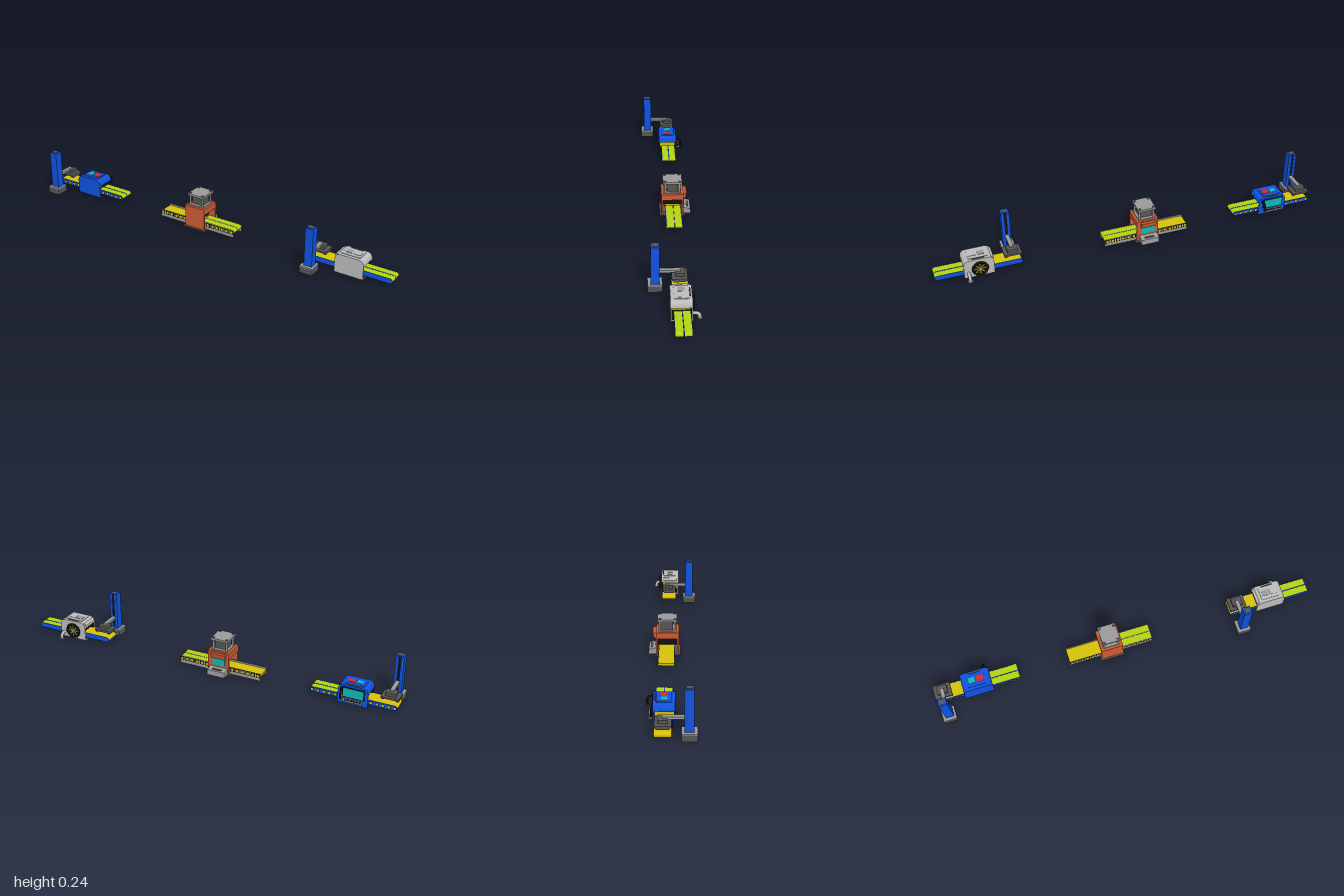
import * as THREE from 'three';

const BLUE = 0x0f52e0, YELLOW = 0xd6bf0a, LIME = 0xb4d20f, ORANGE = 0xcc5a33, DARK = 0x555555,
  GREY = 0x999999, LIGHT = 0xbbbbbb, BLACK = 0x111111, TEAL = 0x12b5b5, RED = 0xe02525;

function add(parent, name, geo, color, x = 0, y = 0, z = 0) {
  const mesh = new THREE.Mesh(geo, new THREE.MeshStandardMaterial({ color }));
  mesh.name = name;
  mesh.position.set(x, y, z);
  parent.add(mesh);
  return mesh;
}

// Box given by its limits on each axis
function box(parent, name, color, x0, x1, y0, y1, z0, z1) {
  return add(parent, name, new THREE.BoxGeometry(x1 - x0, y1 - y0, z1 - z0), color,
    (x0 + x1) / 2, (y0 + y1) / 2, (z0 + z1) / 2);
}

function extrudeZ(parent, name, color, shape, z0, z1) {
  const geo = new THREE.ExtrudeGeometry(shape, { depth: z1 - z0, bevelEnabled: false, curveSegments: 10 });
  return add(parent, name, geo, color, 0, 0, z0);
}

// Bar with half-round ends, seen from the front
function stadium(x0, x1, y0, y1) {
  const r = (y1 - y0) / 2, yc = (y0 + y1) / 2, s = new THREE.Shape();
  s.moveTo(x0 + r, y0);
  s.lineTo(x1 - r, y0);
  s.absarc(x1 - r, yc, r, -Math.PI / 2, Math.PI / 2, false);
  s.lineTo(x0 + r, y1);
  s.absarc(x0 + r, yc, r, Math.PI / 2, Math.PI * 1.5, false);
  return s;
}

// Body outline with rounded shoulders, cut off at a chosen lower height
function hoodShape(w, y0, h, r = 0.028) {
  const s = new THREE.Shape();
  s.moveTo(-w, y0);
  s.lineTo(w, y0);
  s.lineTo(w, h - r);
  s.quadraticCurveTo(w - 0.003, h, w - r, h);
  s.lineTo(-w + r, h);
  s.quadraticCurveTo(-w + 0.003, h, -w, h - r);
  return s;
}

function disc(parent, name, color, r, depth, x, y, z, seg = 16) {
  const m = add(parent, name, new THREE.CylinderGeometry(r, r, depth, seg), color, x, y, z);
  m.rotation.x = Math.PI / 2;
  return m;
}

function pipe(parent, name, color, pts, r) {
  const curve = new THREE.CatmullRomCurve3(pts.map(p => new THREE.Vector3(...p)));
  const mesh = add(parent, name, new THREE.TubeGeometry(curve, 16, r, 10), color);
  mesh.material.side = THREE.DoubleSide;
}

// Two narrow belts on the outfeed side, running between thin plates
function twinBelts(g, x0, x1, plate) {
  for (const [z0, z1] of [[-0.063, -0.03], [-0.025, 0.009]]) {
    extrudeZ(g, 'outfeedBelt', LIME, stadium(x0, x1, 0.021, 0.043), z0, z1);
    for (const z of [z0 - 0.002, z1])
      extrudeZ(g, 'beltSidePlate', plate, stadium(x0, x1, 0.018, 0.044), z, z + 0.002);
  }
}

// Loading tower with a sliding arm and a gripper over the infeed
function tower() {
  const g = new THREE.Group();
  g.name = 'loadingTower';
  box(g, 'towerBase', DARK, -0.036, 0.032, 0, 0.03, 0.052, 0.12);
  box(g, 'towerBaseLid', GREY, -0.036, 0.032, 0.03, 0.036, 0.052, 0.12);
  box(g, 'column', BLUE, -0.021, 0.021, 0.036, 0.235, 0.069, 0.105);
  for (const s of [-1, 1]) // lips leave a slot for the arm
    box(g, 'columnLip', BLUE, s * 0.014 - 0.007, s * 0.014 + 0.007, 0.036, 0.235, 0.064, 0.069);
  box(g, 'slot', BLACK, -0.007, 0.007, 0.04, 0.232, 0.067, 0.0695);
  box(g, 'columnCap', DARK, -0.013, 0.013, 0.235, 0.238, 0.072, 0.098);
  box(g, 'arm', GREY, -0.01, 0.01, 0.091, 0.104, -0.03, 0.068);
  box(g, 'armHead', DARK, -0.026, 0.026, 0.08, 0.096, -0.05, -0.006);
  box(g, 'gripperPlate', DARK, -0.044, 0.044, 0.068, 0.078, -0.062, 0.01);
  for (const s of [-1, 1])
    box(g, 'gripperFinger', DARK, s * 0.036 - 0.006, s * 0.036 + 0.006, 0.06, 0.068, -0.055, 0.003);
  return g;
}

// Station with a rounded housing, conveyor and loading tower
function station(name, shell, screenModel) {
  const g = new THREE.Group();
  g.name = name;
  const t = tower();
  t.position.x = -0.174;
  g.add(t);

  // Conveyor
  extrudeZ(g, 'infeedBelt', YELLOW, stadium(-0.216, -0.05, 0.02, 0.043), -0.063, 0.009);
  for (const z of [-0.066, 0.009])
    extrudeZ(g, 'infeedRail', BLUE, stadium(-0.217, -0.07, 0.017, 0.044), z, z + 0.003);
  twinBelts(g, 0.05, 0.217, BLUE);
  if (screenModel) for (let i = 0; i < 15; i++) {
    const x = -0.205 + i * 0.0293;
    if (Math.abs(x) < 0.076) continue;
    for (const [z, d] of [[0.012, 1], [-0.066, -1]]) {
      disc(g, 'rollerSeat', BLACK, 0.0095, 0.001, x, 0.031, z + d * 0.0004, 12);
      disc(g, 'rollerEnd', YELLOW, 0.0065, 0.002, x, 0.031, z + d * 0.0008, 12);
    }
  }

  // Housing with a tunnel
  const h = 0.1;
  for (const [z0, z1] of [[0.02, 0.024], [-0.073, -0.069]])
    extrudeZ(g, 'sideWall', shell, hoodShape(0.075, 0, h), z0, z1);
  extrudeZ(g, 'roof', shell, hoodShape(0.075, 0.069, h), -0.069, 0.02);
  box(g, 'floor', shell, -0.075, 0.075, 0, 0.006, -0.069, 0.02);
  box(g, 'tunnelFloor', BLACK, -0.073, 0.073, 0.006, 0.012, -0.069, 0.02);
  for (const z of [-0.069, 0.018])
    box(g, 'tunnelLining', BLACK, -0.073, 0.073, 0.012, 0.069, z, z + 0.002);
  box(g, 'tunnelDivider', YELLOW, -0.01, 0.01, 0.012, 0.069, -0.067, 0.018);

  // Roof panel
  box(g, 'roofPanel', shell, -0.048, 0.048, h, 0.103, -0.058, 0.008);
  box(g, 'roofScreen', screenModel ? TEAL : GREY, -0.036, -0.004, 0.103, 0.105, -0.04, -0.01);
  box(g, 'roofButton', screenModel ? RED : LIGHT, 0.004, 0.04, 0.103, 0.105, -0.04, -0.01);
  box(g, 'roofHandle', DARK, -0.03, 0.03, 0.1, 0.106, -0.066, -0.061);

  if (screenModel) {
    // Display, keyboard and cable on the back
    box(g, 'displayFrame', BLACK, -0.058, 0.052, 0.036, 0.09, -0.077, -0.073);
    box(g, 'display', TEAL, -0.053, 0.047, 0.041, 0.086, -0.079, -0.077);
    const kb = box(g, 'keyboard', GREY, -0.05, 0.044, 0.02, 0.026, -0.092, -0.072);
    kb.rotation.x = -0.3;
    for (let i = 0; i < 6; i++)
      box(g, 'key', BLACK, -0.044 + i * 0.014, -0.034 + i * 0.014, 0.023, 0.0285, -0.087, -0.077);
    pipe(g, 'cable', BLACK, [[0.054, 0.078, -0.07], [0.054, 0.077, -0.09], [0.054, 0.066, -0.099],
      [0.054, 0.036, -0.1]], 0.005);
    disc(g, 'cableSocket', BLACK, 0.009, 0.006, 0.054, 0.078, -0.076);
  } else {
    // Spoked fan and drain elbow on the back
    add(g, 'fanRim', new THREE.TorusGeometry(0.036, 0.006, 8, 32), BLACK, -0.004, 0.047, -0.079);
    disc(g, 'fanBack', BLACK, 0.035, 0.004, -0.004, 0.047, -0.075, 32);
    disc(g, 'fanHub', GREY, 0.01, 0.012, -0.004, 0.047, -0.08);
    for (let i = 0; i < 4; i++) {
      const m = add(g, 'fanSpoke', new THREE.BoxGeometry(0.064, 0.004, 0.004), YELLOW, -0.004, 0.047, -0.079);
      m.rotation.z = i * Math.PI / 4;
    }
    pipe(g, 'drainElbow', LIGHT, [[0.054, 0.028, -0.07], [0.054, 0.027, -0.09], [0.054, 0.02, -0.102],
      [0.054, 0.002, -0.106]], 0.008);
    const flange = add(g, 'drainFlange', new THREE.CylinderGeometry(0.012, 0.012, 0.005, 16), LIGHT, 0.054, 0.003, -0.106);
    flange.scale.z = 0.9;
    disc(g, 'hinge', LIGHT, 0.009, 0.08, -0.068, 0.087, -0.025);
  }
  return g;
}

// Press with an open conveyor channel
function press() {
  const g = new THREE.Group();
  g.name = 'pressStation';

  // Conveyor channel
  box(g, 'infeedBelt', YELLOW, -0.222, 0, 0.022, 0.034, -0.063, 0.011);
  for (const z of [-0.066, 0.011]) {
    box(g, 'channelWall', GREY, -0.223, 0.222, 0.004, 0.043, z, z + 0.003);
    for (let i = 0; i < 16; i++) {
      const x = -0.211 + i * 0.028, face = z > 0 ? z + 0.003 : z;
      if (Math.abs(x) < 0.055) continue;
      box(g, 'warningField', BLACK, x - 0.011, x + 0.011, 0.021, 0.041, face - 0.001, face + 0.001);
      disc(g, 'warningMark', YELLOW, 0.0075, 0.003, x, 0.031, face, 12);
    }
  }
  twinBelts(g, 0.02, 0.222, GREY);

  // Frame with a tunnel
  box(g, 'basePlate', DARK, -0.064, 0.064, 0, 0.007, -0.09, 0.043);
  for (const z of [-0.08, 0.025])
    box(g, 'sideWall', ORANGE, -0.057, 0.057, 0.007, 0.11, z, z + 0.009);
  box(g, 'roof', ORANGE, -0.057, 0.057, 0.09, 0.122, -0.08, 0.034);
  box(g, 'tunnelLining', BLACK, -0.02, 0.02, 0.045, 0.09, -0.071, 0.025);

  // Press head
  box(g, 'headBase', GREY, -0.044, 0.044, 0.122, 0.127, -0.068, 0.021);
  box(g, 'ram', DARK, -0.031, 0.031, 0.127, 0.176, -0.052, 0.005);
  box(g, 'topPlate', GREY, -0.046, 0.046, 0.176, 0.187, -0.072, 0.025);
  for (const x of [-0.036, 0.036]) for (const z of [-0.06, 0.014]) {
    add(g, 'guidePost', new THREE.CylinderGeometry(0.005, 0.005, 0.05, 12), LIGHT, x, 0.151, z);
    add(g, 'postNut', new THREE.CylinderGeometry(0.007, 0.007, 0.003, 6), DARK, x, 0.1885, z);
  }

  // Display under a hood, and a sloping console
  box(g, 'display', TEAL, -0.036, 0.03, 0.048, 0.088, -0.083, -0.08);
  const wedge = (name, color, pts, x0, x1) => {
    const geo = new THREE.ExtrudeGeometry(new THREE.Shape(pts.map(p => new THREE.Vector2(...p))),
      { depth: x1 - x0, bevelEnabled: false });
    add(g, name, geo, color, x0, 0, 0).rotation.y = Math.PI / 2;
  };
  wedge('displayHood', ORANGE, [[0.08, 0.088], [0.09, 0.088], [0.096, 0.116], [0.08, 0.116]], -0.042, 0.036);
  wedge('console', GREY, [[0.08, 0.005], [0.118, 0.003], [0.115, 0.03], [0.08, 0.038]], -0.05, 0.044);
  box(g, 'consoleKeys', DARK, -0.028, 0.022, 0.032, 0.0365, -0.106, -0.094);
  return g;
}

export function createModel() {
  const model = new THREE.Group();
  model.name = 'productionLine';
  const screen = station('screenStation', BLUE, true);
  screen.position.x = -0.783;
  const p = press();
  p.position.x = -0.082;
  const fan = station('fanStation', LIGHT, false);
  fan.position.x = 0.783;
  model.add(screen, p, fan);
  return model;
}
